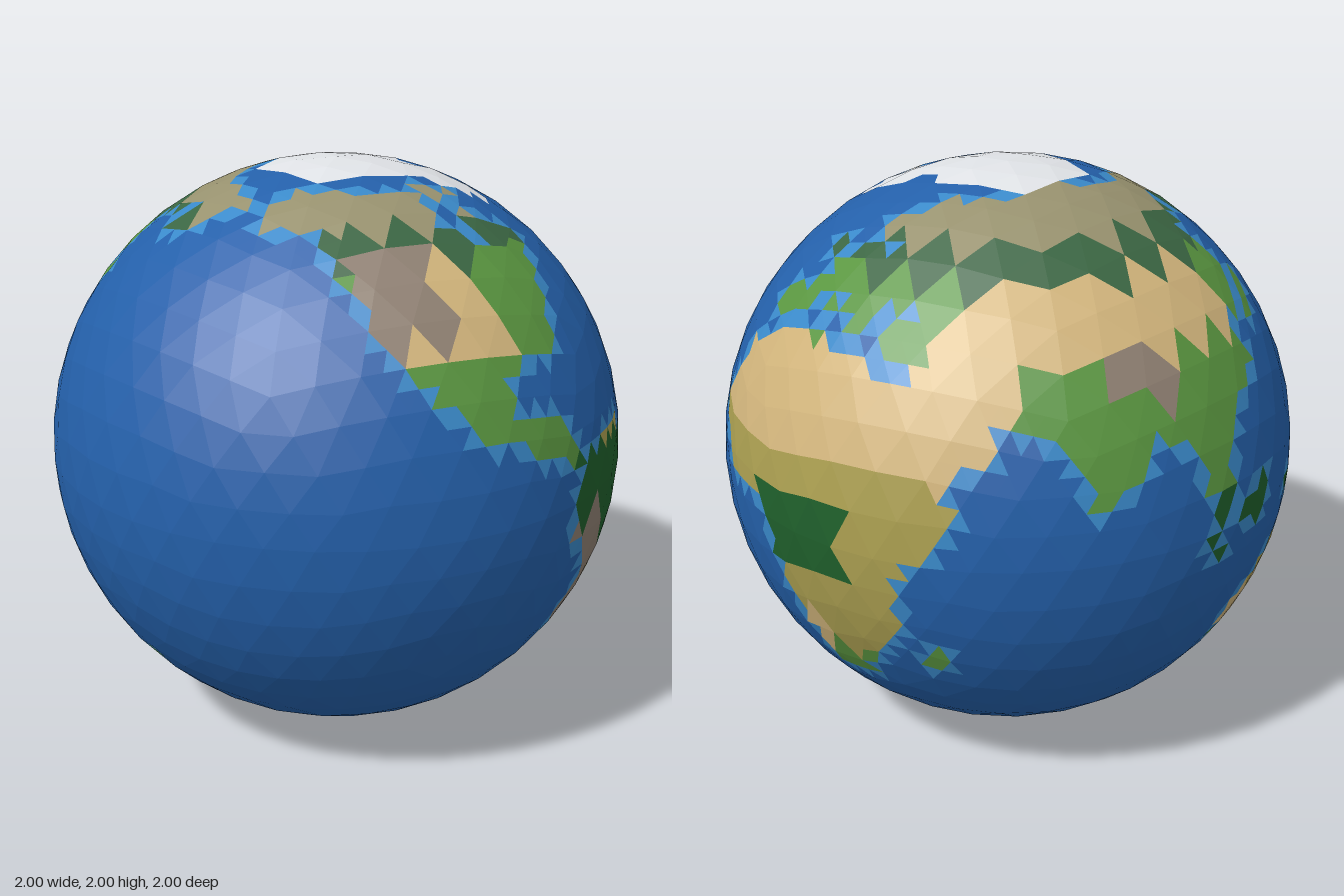
import * as THREE from 'three';

const COLOURS = {
  deepOcean: 0x2460aa, shallowSea: 0x3a8aca, grassland: 0x5a9640, rainforest: 0x1f5f2b, taiga: 0x3b6643,
  savanna: 0xaa9e50, desert: 0xd2b57c, mountain: 0x8f8072, tundra: 0x98926f, ice: 0xeef1f5,
};

// Simplified coast outlines: longitude, latitude
const northAmerica = [-166, 60, -158, 71, -88, 69, -93, 58, -80, 52, -77, 62, -57, 53, -70, 43, -80, 26, -84, 30,
  -97, 27, -94, 18, -87, 21, -78, 7, -105, 19, -124, 40, -135, 58];
const southAmerica = [-78, 8, -60, 11, -50, 1, -35, -6, -40, -22, -62, -39, -68, -53, -75, -52, -71, -18, -81, -5];
const africa = [-17, 14, -10, 30, 10, 37, 36, 32, 48, 31, 59, 22, 46, 12, 52, 12, 40, -5, 40, -15, 27, -34, 19, -35,
  9, 2, -8, 4];
const eurasia = [-9, 37, -9, 43, -1, 44, 8, 56, 20, 55, 24, 60, 17, 57, 5, 60, 25, 71, 100, 76, 190, 66, 160, 52,
  158, 61, 138, 54, 140, 48, 128, 35, 122, 39, 122, 28, 108, 20, 108, 10, 103, 2, 98, 16, 90, 22, 78, 8, 72, 21,
  50, 29, 36, 36, 28, 41, 42, 43, 31, 46, 22, 38, 14, 45, 16, 39, 8, 44, 0, 38];
const australia = [113, -23, 130, -11, 140, -16, 142, -10, 153, -25, 150, -38, 131, -31, 115, -35];
const greenland = [-73, 78, -46, 60, -40, 59, -18, 78];

// Islands are triangles
const baffin = [-85, 73, -62, 66, -78, 65];
const madagascar = [43, -24, 50, -13, 47, -26];
const britain = [-7, 50, 2, 51, -4, 58];
const japan = [130, 32, 141, 36, 144, 45];
const sumatra = [94, 6, 106, -5, 101, -5];
const borneo = [108, 1, 118, 7, 116, -4];
const newGuinea = [131, 0, 151, -10, 138, -7];
const newZealand = [178, -35, 176, -42, 166, -46];

const LAND = [northAmerica, southAmerica, africa, eurasia, australia, baffin, madagascar, britain, japan, sumatra,
  borneo, newGuinea, newZealand];

// Climate areas by priority: west, south, east, north of a box, or a longer outline
const CLIMATES = {
  mountain: [[-83, -4, -72, -4, -62, -20, -69, -37, -77, -37], [-126, 35, -106, 55], [78, 36, 104, 36, 91, 26]],
  rainforest: [[-79, -15, -44, 8], [9, -8, 31, 8], [93, -10, 155, 8]],
  desert: [[-69, -48, -62, -38], [-106, 41, -95, 55], [-121, 31, -93, 37], [14, -29, 22, -17], [-20, 14.5, 62, 36],
    [45, 36, 120, 50], [112, -30, 147, -20]],
  savanna: [[-20, -5, 60, 14.5], [-20, -24, 42, -5], [-79, -25, -33, 13], [112, -20, 148, -10]],
};

function inside(area, lon, lat) {
  if (area.length === 4) return lon > area[0] && lat > area[1] && lon < area[2] && lat < area[3];
  let hit = false;
  for (let i = 0, j = area.length - 2; i < area.length; j = i, i += 2) {
    const [ax, ay, bx, by] = [area[i], area[i + 1], area[j], area[j + 1]];
    if (ay > lat !== by > lat && lon < ((bx - ax) * (lat - ay)) / (by - ay) + ax) hit = !hit;
  }
  return hit;
}

const onSphere = (lon, lat) => new THREE.Vector3().setFromSphericalCoords(
  1, THREE.MathUtils.degToRad(90 - lat), THREE.MathUtils.degToRad(lon + 90));

function lonLat(tri) {
  const c = tri[0].clone().add(tri[1]).add(tri[2]).normalize();
  const lon = THREE.MathUtils.radToDeg(Math.atan2(-c.z, c.x));
  return [lon < -169 ? lon + 360 : lon, THREE.MathUtils.radToDeg(Math.asin(c.y))];
}

function kindOf(tri) {
  const [lon, lat] = lonLat(tri);
  if (lat > 76 || lat < -63 || inside(greenland, lon, lat)) return 'ice';
  return LAND.some((outline) => inside(outline, lon, lat)) ? 'land' : 'sea';
}

function climateOf(tri) {
  const [lon, lat] = lonLat(tri);
  const found = Object.keys(CLIMATES).find((name) => CLIMATES[name].some((area) => inside(area, lon, lat)));
  return found ?? (lat > 60 ? 'tundra' : lat > 50.5 ? 'taiga' : 'grassland');
}

// Split a triangle in four, optionally pushing the new corners out to the sphere
function split([a, b, c], round) {
  const mid = (p, q) => {
    const m = p.clone().add(q).multiplyScalar(0.5);
    return round ? m.normalize() : m;
  };
  const [ab, bc, ca] = [mid(a, b), mid(b, c), mid(c, a)];
  return [[a, ab, ca], [ab, b, bc], [ca, bc, c], [ab, bc, ca]];
}

// Icosphere with a corner at each pole
function globeFaces(levels) {
  const north = onSphere(0, 90), south = onSphere(0, -90), ring = 26.565;
  let faces = [];
  for (let k = 0; k < 5; k++) {
    const u0 = onSphere(72 * k, ring), u1 = onSphere(72 * k + 72, ring);
    const l0 = onSphere(72 * k + 36, -ring), l1 = onSphere(72 * k + 108, -ring);
    faces.push([north, u0, u1], [u0, l0, u1], [l0, l1, u1], [south, l1, l0]);
  }
  for (let i = 0; i < levels; i++) faces = faces.flatMap((f) => split(f, true));
  return faces;
}

const edgeKeys = (tri) => tri.map((p, i) => {
  const m = p.clone().add(tri[(i + 1) % 3]);
  return m.toArray().map((v) => Math.round(v * 2000)).join();
});

export function createModel() {
  const cells = globeFaces(3).map((face) => {
    const parts = split(face, false).map((tri) => ({ tri, kind: kindOf(tri), keys: edgeKeys(tri) }));
    return { face, parts };
  });

  // Sea triangles that share an edge with land become shallows
  const parts = cells.flatMap((cell) => cell.parts);
  const coast = new Set(parts.filter((p) => p.kind === 'land').flatMap((p) => p.keys));
  for (const p of parts) if (p.kind === 'sea' && p.keys.some((k) => coast.has(k))) p.kind = 'shallow';

  // Sort triangles by terrain; uniform cells stay whole, mixed cells use the small triangles
  const points = Object.fromEntries(Object.keys(COLOURS).map((name) => [name, []]));
  const fixed = { sea: 'deepOcean', shallow: 'shallowSea', ice: 'ice' };
  const add = (tri, kind) => points[fixed[kind] ?? climateOf(tri)].push(...tri);
  for (const cell of cells) {
    const { kind } = cell.parts[0];
    if (cell.parts.every((p) => p.kind === kind)) add(cell.face, kind);
    else cell.parts.forEach((p) => add(p.tri, p.kind));
  }

  // One faceted mesh per terrain
  const globe = new THREE.Group();
  globe.name = 'globe';
  for (const [name, corners] of Object.entries(points)) {
    const geometry = new THREE.BufferGeometry().setFromPoints(corners);
    geometry.computeVertexNormals();
    const material = new THREE.MeshStandardMaterial({ color: COLOURS[name] });
    material.name = name;
    const mesh = new THREE.Mesh(geometry, material);
    mesh.name = name;
    mesh.position.y = 1;
    globe.add(mesh);
  }
  return globe;
}
